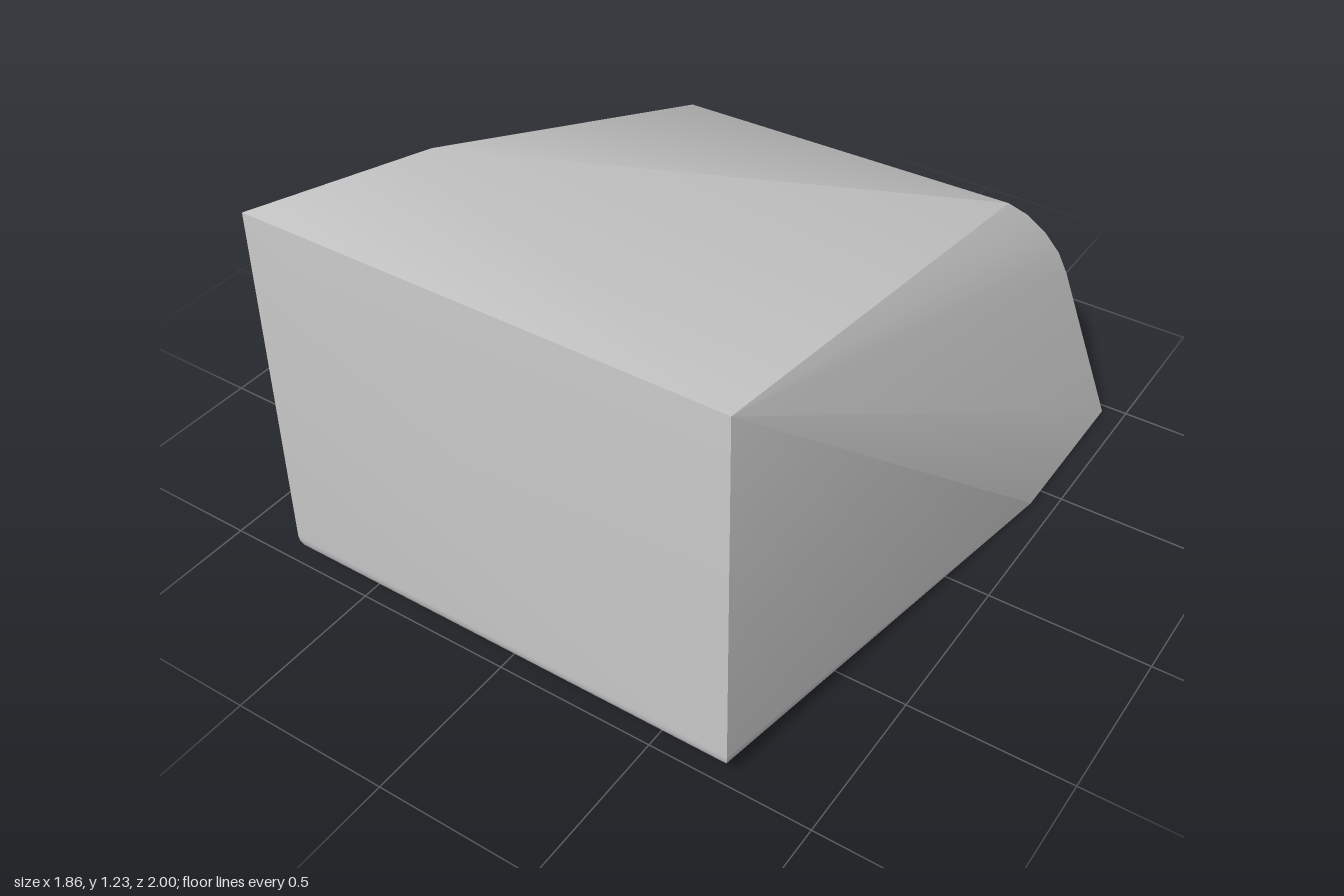
import * as THREE from 'three';
import { ConvexGeometry } from 'three/addons/geometries/ConvexGeometry.js';
import { toCreasedNormals } from 'three/addons/utils/BufferGeometryUtils.js';

export function createModel() {
  const model = new THREE.Group();
  const grey = new THREE.MeshStandardMaterial({ color: 0xcccccc });
  grey.name = 'plain grey';
  const points = [];
  const add = (x, y, z) => points.push(new THREE.Vector3(x, y, z));

  // Top: the ridge is cut back further on the right side
  add(-0.55, 1.23, 0.485);

  // Rounded upper back edge, flaring outwards as it drops
  const backArc = [[0.58, 0.755, -0.83], [0.62, 0.69, -0.897], [0.665, 0.61, -0.95], [0.705, 0.535, -0.98], [0.735, 0.46, -0.993]];
  backArc.forEach(([x, y, z], i) => {
    add(x, y, z);
    if (i > 0) add(i === 1 ? -0.63 : -x, y, z);
  });

  for (const side of [-1, 1]) {
    // Front top corner and flared base
    add(side * 0.745, 1.23, 1);
    add(side * 0.93, 0, -0.43);
    add(side * 0.93, 0, -0.97);
    add(side * 0.78, 0, -1);

    // Rounded lower front edge
    for (let i = 0; i <= 6; i++) {
      const a = (i / 6) * Math.PI / 2;
      add(side * (0.685 + 0.06 * Math.cos(a)), 0.11 - 0.078 * Math.sin(a), 0.925 + 0.075 * Math.cos(a));
    }
  }

  // Solid body with soft rounded edges and crisp corners
  const body = new THREE.Mesh(toCreasedNormals(new ConvexGeometry(points), 0.5), grey);
  body.name = 'body';
  model.add(body);
  return model;
}
